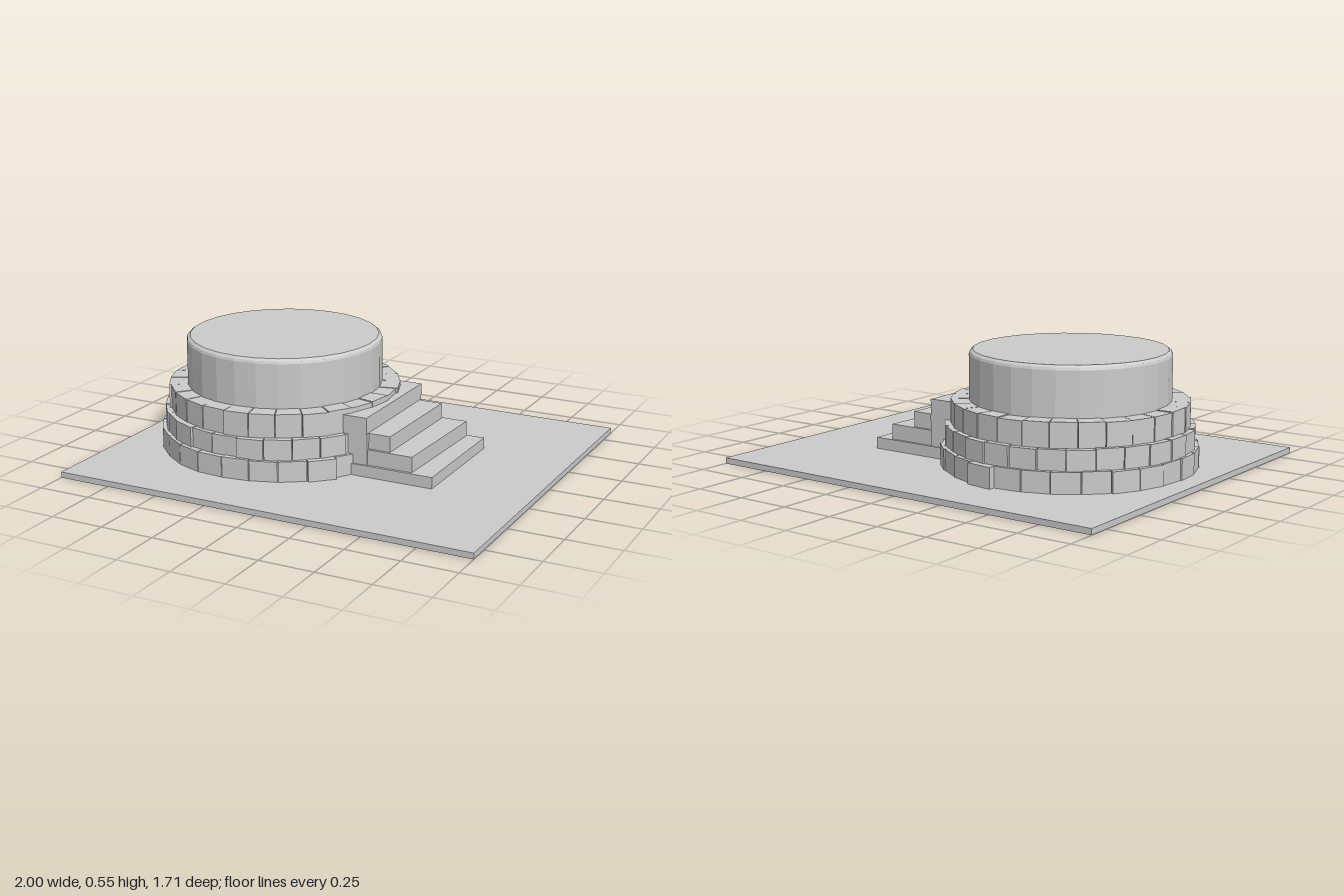
import * as THREE from 'three';

const material = new THREE.MeshStandardMaterial({ color: 0xcccccc, flatShading: true });
const CX = -0.325; // axis of the round platform
const SIDES = 28;
const STEP = (Math.PI * 2) / SIDES;

// small seeded generator for hand-laid irregularity
let seed = 7;
function jitter(amount) {
  seed = (seed * 16807) % 2147483647;
  return (seed / 2147483647 - 0.5) * 2 * amount;
}

function add(parent, name, geometry) {
  const mesh = new THREE.Mesh(geometry, material);
  mesh.name = name;
  parent.add(mesh);
  return mesh;
}

// upright prism from a plan outline of [x, z] points
function prism(points, y0, y1) {
  const shape = new THREE.Shape(points.map(([x, z]) => new THREE.Vector2(x, -z)));
  const geometry = new THREE.ExtrudeGeometry(shape, { depth: y1 - y0, bevelEnabled: false });
  geometry.rotateX(-Math.PI / 2);
  geometry.translate(0, y0, 0);
  return geometry;
}

// ring of separate wedge-shaped stones
function stoneRing({ name, y0, y1, radius, offset, rough, bumps = {} }) {
  const ring = new THREE.Group();
  ring.name = name;
  ring.position.x = CX;
  const polar = (r, a) => [r * Math.cos(a), r * Math.sin(a)];
  for (let i = 0; i < SIDES; i++) {
    const a0 = (i + offset) * STEP + 0.003;
    const a1 = (i + 1 + offset) * STEP - 0.003;
    const r = radius + (bumps[i] || 0) + jitter(rough);
    const skew = jitter(rough * 0.5);
    add(ring, 'stone', prism([
      polar(0.44, a0), polar(r + skew, a0), polar(r - skew, a1), polar(0.44, a1),
    ], y0, y1 + jitter(0.002)));
  }
  return ring;
}

export function createModel() {
  const model = new THREE.Group();
  model.name = 'roundPlatform';

  // ground slab
  add(model, 'groundSlab', new THREE.BoxGeometry(2, 0.027, 1.71)).position.y = 0.0135;

  // three stepped courses of stones
  const courses = [
    { name: 'lowerCourse', y0: 0.027, y1: 0.122, radius: 0.581, offset: 0, rough: 0.006, bumps: { 3: 0.015, 21: 0.028 } },
    { name: 'middleCourse', y0: 0.12, y1: 0.215, radius: 0.564, offset: 0.5, rough: 0.006 },
    { name: 'upperCourse', y0: 0.213, y1: 0.324, radius: 0.538, offset: 0.1, rough: 0.004 },
  ];
  courses.forEach((course) => model.add(stoneRing(course)));

  // faceted drum with a bevelled cap
  const drum = new THREE.Group();
  drum.name = 'drum';
  drum.position.x = CX;
  model.add(drum);
  add(drum, 'drumWall', new THREE.CylinderGeometry(0.456, 0.456, 0.503, SIDES)).position.y = 0.2785;
  const bevel = [[0.456, 0.53], [0.452, 0.541], [0.439, 0.551], [0, 0.551]];
  add(drum, 'drumCap', new THREE.LatheGeometry(bevel.map(([r, y]) => new THREE.Vector2(r, y)), SIDES));

  // stairs, slightly out of square, bottom step first:
  // [y0, y1, x at back edge, x at front edge, z back, z front]
  const stairs = new THREE.Group();
  stairs.name = 'stairs';
  model.add(stairs);
  const steps = [
    [0.027, 0.08, 0.565, 0.565, -0.3, 0.292],
    [0.08, 0.152, 0.48, 0.462, -0.288, 0.278],
    [0.152, 0.225, 0.358, 0.35, -0.275, 0.265],
    [0.225, 0.3, 0.243, 0.243, -0.295, 0.285],
  ];
  steps.forEach(([y0, y1, xBack, xFront, zBack, zFront]) => {
    add(stairs, 'step', prism([[0, zBack], [xBack, zBack], [xFront, zFront], [0, zFront]], y0, y1));
  });
  // core under the top step
  add(stairs, 'stairCore', prism([[0, -0.294], [0.245, -0.294], [0.245, 0.284], [0, 0.284]], 0.08, 0.225));

  return model;
}
